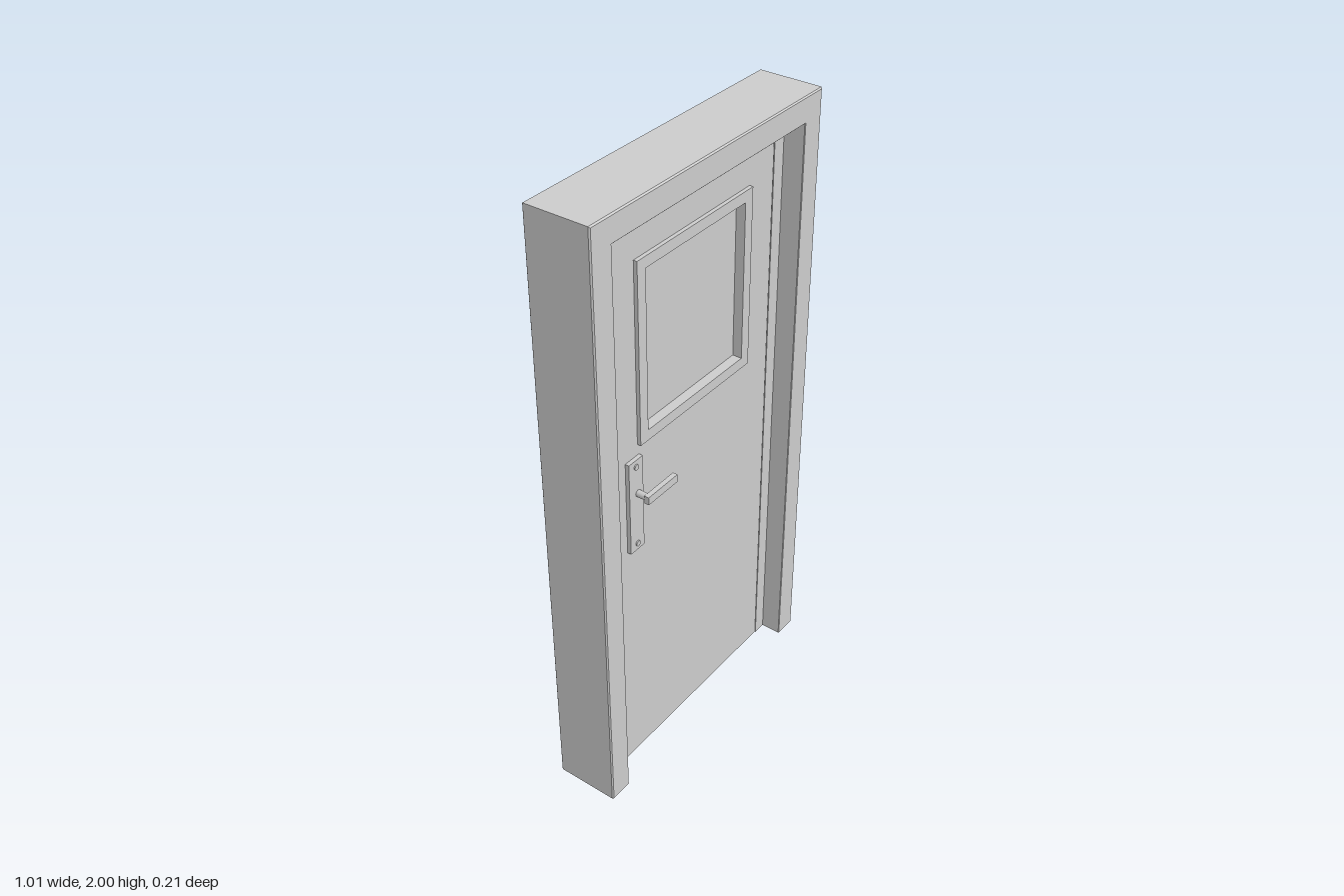
import * as THREE from 'three';

const material = new THREE.MeshStandardMaterial({ color: 0xcccccc });
const shellMaterial = new THREE.MeshStandardMaterial({ color: 0xcccccc, side: THREE.DoubleSide });

const W = 0.505, H = 2, D = 0.105;   // frame half width, height, half depth
const DOOR = 0.037;                  // half thickness of the door leaf

function add(parent, name, geometry, x = 0, y = 0, z = 0, mat = material) {
  const mesh = new THREE.Mesh(geometry, mat);
  mesh.name = name;
  mesh.position.set(x, y, z);
  parent.add(mesh);
  return mesh;
}

// Sweeps a closed [inset, z] profile up one jamb, across the head and down the other, mitred
function sweepFrame(profile) {
  const positions = [], index = [], n = profile.length;
  const corners = [[-1, 0], [-1, 1], [1, 1], [1, 0]];
  for (const [side, top] of corners)
    for (const [inset, z] of profile) positions.push(side * (W - inset), top * (H - inset), z);
  for (let c = 0; c < 3; c++)
    for (let i = 0; i < n; i++) {
      const a = c * n + i, b = c * n + (i + 1) % n;
      index.push(a, b, b + n, a, b + n, a + n);
    }
  let g = new THREE.BufferGeometry();
  g.setAttribute('position', new THREE.Float32BufferAttribute(positions, 3));
  g.setIndex(index);
  g = g.toNonIndexed();
  g.computeVertexNormals();
  return g;
}

function rectPath(target, x, y0, y1) {
  target.moveTo(-x, y0);
  target.lineTo(x, y0);
  target.lineTo(x, y1);
  target.lineTo(-x, y1);
  target.closePath();
  return target;
}

// Rectangular panel with a rectangular opening, centred on z = 0
function panelWithHole(outer, hole, halfDepth) {
  const shape = rectPath(new THREE.Shape(), ...outer);
  shape.holes.push(rectPath(new THREE.Path(), ...hole));
  const g = new THREE.ExtrudeGeometry(shape, { depth: halfDepth * 2, bevelEnabled: false });
  return g.translate(0, 0, -halfDepth);
}

// Back plate, screws, neck and lever, facing +z
function makeHandle() {
  const handle = new THREE.Group();
  const x = -0.285, round = (r, l) => new THREE.CylinderGeometry(r, r, l, 20).rotateX(Math.PI / 2);
  add(handle, 'handlePlate', new THREE.BoxGeometry(0.062, 0.32, 0.014), x, 1.005, DOOR + 0.006);
  for (const y of [1.143, 0.868]) add(handle, 'plateScrew', round(0.009, 0.006), x, y, 0.051);
  add(handle, 'handleNeck', round(0.011, 0.04), x + 0.007, 1.047, 0.066);
  add(handle, 'handleLever', new THREE.BoxGeometry(0.134, 0.026, 0.016), -0.224, 1.047, 0.09);
  return handle;
}

export function createModel() {
  const model = new THREE.Group();
  model.name = 'door';

  // Frame: chamfered casing with a stepped rebate around the leaf
  const c = 0.004, step = 0.08, lip = 0.125;
  add(model, 'doorFrame', sweepFrame([
    [0, -D + c], [0, D - c], [c, D], [step - c / 2, D], [step, D - c / 2], [step, DOOR],
    [lip, DOOR], [lip, -DOOR],
    [step, -DOOR], [step, -D + c / 2], [step - c / 2, -D], [c, -D],
  ]), 0, 0, 0, shellMaterial);

  // Leaf with window opening, raised trim and pane
  const opening = [0.225, 1.235, 1.745];
  add(model, 'doorLeaf', panelWithHole([0.376, 0.005, 1.871], opening, DOOR));
  add(model, 'windowTrim', panelWithHole([0.26, 1.2, 1.78], opening, 0.049));
  add(model, 'windowPane', new THREE.BoxGeometry(0.45, 0.51, 0.036), 0, 1.49, 0);

  // Handles on both faces
  const front = makeHandle();
  front.name = 'frontHandle';
  const back = makeHandle();
  back.name = 'backHandle';
  for (const part of back.children) part.position.z *= -1;
  model.add(front, back);

  // Hinge barrels on the back
  for (const y of [1.595, 0.285])
    add(model, 'hinge', new THREE.CylinderGeometry(0.012, 0.012, 0.145, 20), 0.378, y, -0.039);

  return model;
}
